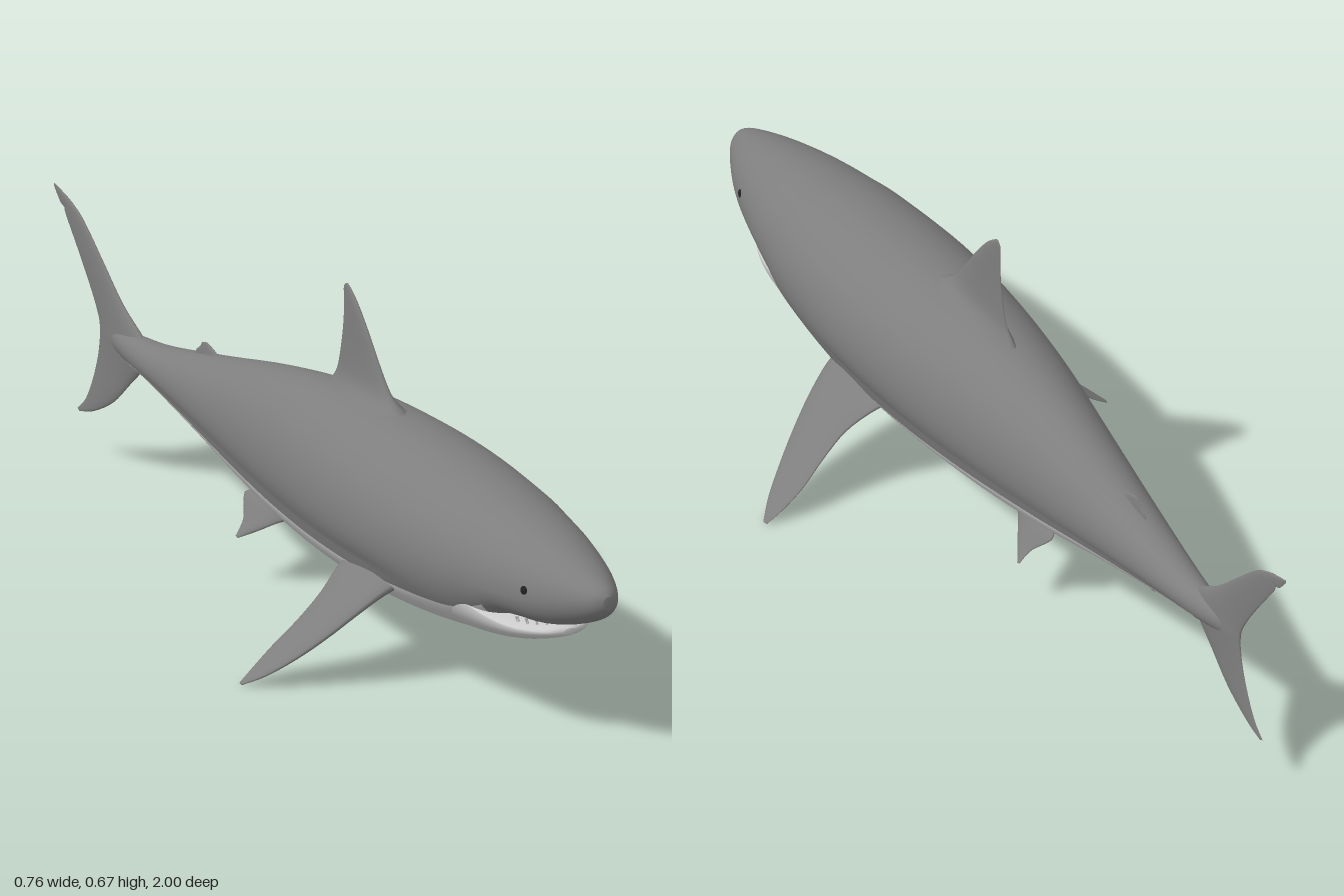
import * as THREE from 'three';

const backMat = new THREE.MeshStandardMaterial({ color: 0x7e7e7e });
const bellyMat = new THREE.MeshStandardMaterial({ color: 0xcccccc });
const eyeMat = new THREE.MeshStandardMaterial({ color: 0x222222 });

// Skin a row of equal closed rings, cap both ends and face the result outward
function loft(rings) {
  const n = rings[0].length, pos = [], idx = [];
  rings.forEach(r => r.forEach(p => pos.push(...p)));
  for (let i = 0; i < rings.length - 1; i++) {
    for (let j = 0; j < n; j++) {
      const a = i * n + j, b = i * n + (j + 1) % n;
      idx.push(a, b, a + n, b, b + n, a + n);
    }
  }
  [0, rings.length - 1].forEach(i => {
    const c = pos.length / 3, mid = [0, 0, 0];
    rings[i].forEach(p => p.forEach((v, k) => { mid[k] += v / n; }));
    pos.push(...mid);
    for (let j = 0; j < n; j++) {
      const a = i * n + j, b = i * n + (j + 1) % n;
      if (i === 0) idx.push(c, b, a); else idx.push(c, a, b);
    }
  });
  // Signed volume tells whether the winding must be reversed
  const at = i => new THREE.Vector3().fromArray(pos, i * 3);
  let volume = 0;
  for (let i = 0; i < idx.length; i += 3) volume += at(idx[i]).dot(at(idx[i + 1]).cross(at(idx[i + 2])));
  if (volume < 0) idx.reverse();
  const g = new THREE.BufferGeometry();
  g.setAttribute('position', new THREE.Float32BufferAttribute(pos, 3));
  g.setIndex(idx);
  g.computeVertexNormals();
  return g;
}

function part(geometry, material, name) {
  const m = new THREE.Mesh(geometry, material);
  m.name = name;
  return m;
}

// Catmull-Rom resampling of rows of numbers
function smooth(rows, steps) {
  const out = [], last = rows.length - 1;
  const row = i => rows[Math.max(0, Math.min(last, i))];
  for (let i = 0; i < last; i++) {
    for (let s = 0; s < steps; s++) {
      const t = s / steps;
      out.push(row(i).map((b, k) => {
        const a = row(i - 1)[k], c = row(i + 1)[k], d = row(i + 2)[k];
        return b + 0.5 * t * (c - a + t * (2 * a - 5 * b + 4 * c - d + t * (3 * (b - c) + d - a)));
      }));
    }
  }
  out.push(rows[last]);
  return out;
}

// Body stations: [z, top, bottom, half width, widest height, lower roundness]
const N = 60;
function hull(stations, ridge) {
  return loft(smooth(stations, 5).map(([z, top, bot, w, mid, e]) => {
    const ring = [];
    const fade = ridge * THREE.MathUtils.smoothstep(z, -0.68, -0.5) * (1 - THREE.MathUtils.smoothstep(z, 0.35, 0.55));
    for (let j = 0; j < N; j++) {
      const a = j / N * Math.PI * 2, c = Math.cos(a), s = Math.sin(a);
      // Shallow fold above the belly line
      const pinch = s > -0.49 ? 1 - fade * Math.exp(-(((s + 0.44) / 0.16) ** 2)) : 1;
      const x = Math.sign(c) * Math.abs(c) ** (s < 0 ? e : 1) * w * pinch;
      ring.push([x, mid + s * (s > 0 ? top - mid : mid - bot), z]);
    }
    return ring;
  }));
}

// Divide the body along the belly line (30 degrees below the widest height)
function splitBelly(g) {
  const back = [], belly = [], p = g.attributes.position, idx = g.index.array;
  const low = i => i % N >= N * 7 / 12 && i % N <= N * 11 / 12 && p.getZ(i) < 0.73 && p.getZ(i) > -0.7;
  for (let i = 0; i < idx.length; i += 3) {
    const tri = [idx[i], idx[i + 1], idx[i + 2]];
    (tri.every(low) ? belly : back).push(...tri);
  }
  return [back, belly].map(list => g.clone().setIndex(list));
}

// Fin stations: [x, leading y, leading z, trailing y, trailing z, thickness]
function fin(stations, normal, name) {
  const n = 20;
  return part(loft(smooth(stations, 4).map(([x, ly, lz, ty, tz, th]) => {
    const ring = [];
    for (let j = 0; j < n; j++) {
      const a = j / n * Math.PI * 2, u = (1 - Math.cos(a)) / 2;
      const h = Math.sin(a) * th * 0.5 * (1.25 - 0.7 * u);
      ring.push([x + normal[0] * h, ly + (ty - ly) * u + normal[1] * h, lz + (tz - lz) * u]);
    }
    return ring;
  })), backMat, name);
}

export function createModel() {
  const shark = new THREE.Group();
  shark.name = 'shark';

  // Body with overhanging snout, dark above and pale below
  const [back, belly] = splitBelly(hull([
    [1.0, 0.333, 0.307, 0.010, 0.320, 1],
    [0.985, 0.346, 0.289, 0.030, 0.317, 0.9],
    [0.95, 0.360, 0.268, 0.052, 0.312, 0.8],
    [0.90, 0.376, 0.250, 0.076, 0.305, 0.65],
    [0.85, 0.390, 0.241, 0.094, 0.300, 0.55],
    [0.80, 0.402, 0.240, 0.109, 0.297, 0.5],
    [0.75, 0.412, 0.230, 0.122, 0.295, 0.55],
    [0.69, 0.422, 0.185, 0.134, 0.293, 0.85],
    [0.60, 0.436, 0.147, 0.150, 0.290, 1],
    [0.40, 0.455, 0.125, 0.165, 0.290, 1],
    [0.20, 0.460, 0.119, 0.157, 0.290, 1],
    [0.0, 0.450, 0.129, 0.134, 0.290, 1],
    [-0.20, 0.417, 0.155, 0.102, 0.287, 1],
    [-0.40, 0.370, 0.200, 0.072, 0.285, 1],
    [-0.60, 0.326, 0.241, 0.043, 0.284, 1],
    [-0.70, 0.315, 0.253, 0.028, 0.284, 1],
    [-0.76, 0.307, 0.262, 0.015, 0.284, 1],
    [-0.79, 0.303, 0.266, 0.005, 0.284, 1],
  ], 0.05));
  shark.add(part(back, backMat, 'back'), part(belly, bellyMat, 'belly'));

  // Lower jaw
  shark.add(part(hull([
    [0.862, 0.226, 0.214, 0.012, 0.220, 1],
    [0.85, 0.231, 0.207, 0.042, 0.220, 0.9],
    [0.82, 0.234, 0.196, 0.071, 0.220, 0.9],
    [0.78, 0.236, 0.184, 0.093, 0.222, 0.9],
    [0.72, 0.245, 0.169, 0.113, 0.232, 0.95],
    [0.64, 0.265, 0.153, 0.131, 0.255, 1],
    [0.55, 0.290, 0.143, 0.145, 0.280, 1],
  ], 0), bellyMat, 'lowerJaw'));

  // Teeth along both jaws
  const teeth = new THREE.Group();
  teeth.name = 'teeth';
  const toothGeo = new THREE.ConeGeometry(0.0035, 0.012, 5);
  for (const upper of [true, false]) {
    for (let i = 0; i < 11; i++) {
      const a = (i / 10 - 0.5) * 2.2;
      const tooth = part(toothGeo, bellyMat, upper ? 'upperTooth' : 'lowerTooth');
      tooth.position.set(Math.sin(a) * (upper ? 0.084 : 0.078), upper ? 0.237 : 0.235, 0.745 + Math.cos(a) * (upper ? 0.1 : 0.095));
      if (upper) tooth.rotation.x = Math.PI;
      teeth.add(tooth);
    }
  }
  shark.add(teeth);

  // Dorsal fin, flared where it meets the back
  shark.add(fin([
    [0, 0.435, 0.30, 0.435, -0.02, 0.12],
    [0, 0.463, 0.25, 0.457, 0.0, 0.062],
    [0, 0.490, 0.212, 0.485, 0.022, 0.027],
    [0, 0.540, 0.172, 0.535, 0.036, 0.015],
    [0, 0.590, 0.135, 0.590, 0.045, 0.012],
    [0, 0.635, 0.098, 0.635, 0.046, 0.009],
    [0, 0.658, 0.072, 0.655, 0.046, 0.006],
    [0, 0.666, 0.060, 0.664, 0.052, 0.003],
  ], [1, 0], 'dorsalFin'));

  // Small second dorsal and anal fins
  shark.add(fin([
    [0, 0.350, -0.385, 0.335, -0.475, 0.014],
    [0, 0.367, -0.405, 0.353, -0.488, 0.009],
    [0, 0.378, -0.432, 0.368, -0.472, 0.006],
    [0, 0.382, -0.448, 0.378, -0.466, 0.003],
  ], [1, 0], 'secondDorsalFin'));
  shark.add(fin([
    [0, 0.235, -0.44, 0.245, -0.53, 0.014],
    [0, 0.217, -0.468, 0.226, -0.542, 0.009],
    [0, 0.206, -0.492, 0.212, -0.527, 0.006],
    [0, 0.200, -0.508, 0.203, -0.522, 0.003],
  ], [1, 0], 'analFin'));

  // Crescent tail with a notch near the upper tip
  shark.add(fin([
    [0, 0.096, -0.905, 0.100, -0.914, 0.003],
    [0, 0.112, -0.855, 0.128, -0.885, 0.006],
    [0, 0.152, -0.785, 0.175, -0.860, 0.010],
    [0, 0.207, -0.725, 0.225, -0.842, 0.014],
    [0, 0.255, -0.675, 0.262, -0.835, 0.022],
    [0, 0.285, -0.66, 0.283, -0.834, 0.026],
    [0, 0.313, -0.675, 0.308, -0.838, 0.022],
    [0, 0.360, -0.75, 0.350, -0.862, 0.014],
    [0, 0.427, -0.825, 0.410, -0.905, 0.010],
    [0, 0.484, -0.89, 0.478, -0.957, 0.008],
    [0, 0.507, -0.93, 0.490, -0.962, 0.006],
    [0, 0.518, -0.96, 0.497, -0.977, 0.005],
    [0, 0.528, -0.998, 0.523, -1.0, 0.002],
  ], [1, 0], 'tailFin'));

  // Paired fins and eyes
  for (const s of [1, -1]) {
    const side = s > 0 ? 'left' : 'right';
    shark.add(fin([
      [0.110, 0.208, 0.45, 0.208, 0.25, 0.045],
      [0.150, 0.189, 0.438, 0.189, 0.265, 0.033],
      [0.200, 0.150, 0.418, 0.150, 0.282, 0.023],
      [0.250, 0.105, 0.392, 0.105, 0.281, 0.019],
      [0.300, 0.061, 0.360, 0.061, 0.273, 0.015],
      [0.345, 0.025, 0.325, 0.025, 0.274, 0.010],
      [0.377, 0.002, 0.290, 0.002, 0.279, 0.004],
    ].map(([x, ...r]) => [x * s, ...r]), [0.66 * s, 0.75], side + 'PectoralFin'));
    shark.add(fin([
      [0.035, 0.155, -0.07, 0.170, -0.21, 0.026],
      [0.052, 0.138, -0.105, 0.160, -0.228, 0.016],
      [0.074, 0.116, -0.14, 0.126, -0.196, 0.011],
      [0.088, 0.102, -0.163, 0.108, -0.188, 0.007],
      [0.098, 0.093, -0.178, 0.095, -0.186, 0.003],
    ].map(([x, ...r]) => [x * s, ...r]), [0.68 * s, 0.73], side + 'PelvicFin'));
    const eye = part(new THREE.SphereGeometry(0.01, 20, 14), eyeMat, side + 'Eye');
    eye.scale.x = 0.6;
    eye.rotation.y = -0.3 * s;
    eye.position.set(0.0905 * s, 0.315, 0.845);
    shark.add(eye);
  }
  return shark;
}
